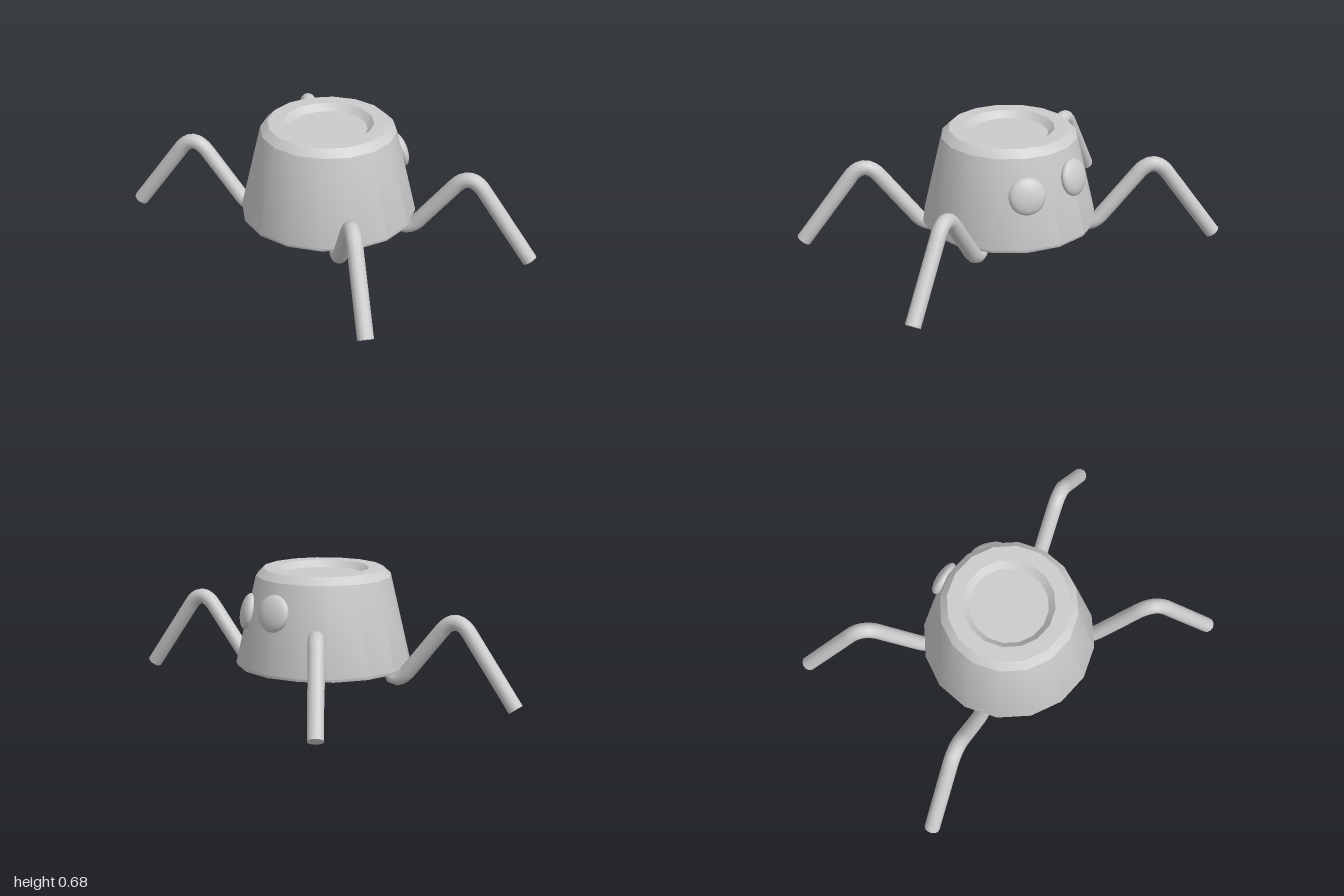
import * as THREE from 'three';
import { toCreasedNormals } from 'three/addons/utils/BufferGeometryUtils.js';

const LEG_RADIUS = 0.042;

export function createModel() {
  const model = new THREE.Group();
  model.name = 'potWalker';
  const material = new THREE.MeshStandardMaterial({ color: 0xcccccc });

  function add(parent, name, geometry) {
    const mesh = new THREE.Mesh(geometry, material);
    mesh.name = name;
    parent.add(mesh);
    return mesh;
  }

  // Upturned hollow pot: inner ceiling, inner wall, rim, outer wall, recessed top
  const profile = [
    [0, 0.6], [0.33, 0.6], [0.435, 0.15],
    [0.475, 0.15], [0.48, 0.166], [0.37, 0.64], [0.33, 0.68],
    [0.247, 0.68], [0.212, 0.645], [0, 0.645],
  ].map(([r, y]) => new THREE.Vector2(r, y));
  const pot = new THREE.LatheGeometry(profile, 16);
  add(model, 'potBody', toCreasedNormals(pot, Math.PI / 6));

  // Legs: hook under the rim, rise to a knee, then reach down to the foot
  function legCurve(sx, sz) {
    const p = (x, y) => new THREE.Vector3(sx * x, y, sz * (0.037 + 0.57 * x));
    const path = new THREE.CurvePath();
    path.add(new THREE.CubicBezierCurve3(p(0.365, 0.225), p(0.31, 0.17), p(0.325, 0.055), p(0.415, 0.14)));
    path.add(new THREE.LineCurve3(p(0.415, 0.14), p(0.605, 0.41)));
    path.add(new THREE.QuadraticBezierCurve3(p(0.605, 0.41), p(0.668, 0.488), p(0.728, 0.41)));
    path.add(new THREE.LineCurve3(p(0.728, 0.41), p(0.971, 0.027)));
    return path;
  }

  // Flat disc closing the end of a tube
  function addCap(parent, name, curve, t) {
    const cap = add(parent, name, new THREE.CircleGeometry(LEG_RADIUS, 12));
    const out = curve.getTangentAt(t).multiplyScalar(t === 0 ? -1 : 1);
    cap.position.copy(curve.getPointAt(t));
    cap.quaternion.setFromUnitVectors(new THREE.Vector3(0, 0, 1), out);
  }

  for (const [end, sz] of [['front', 1], ['back', -1]]) {
    for (const [side, sx] of [['Left', 1], ['Right', -1]]) {
      const leg = new THREE.Group();
      leg.name = `${end}${side}Leg`;
      const curve = legCurve(sx, sz);
      add(leg, 'legTube', new THREE.TubeGeometry(curve, 48, LEG_RADIUS, 12));
      addCap(leg, 'hookEnd', curve, 0);
      addCap(leg, 'footEnd', curve, 1);
      model.add(leg);
    }
  }

  // Flattened round eyes lying on the sloped back wall, one slightly higher
  for (const [name, x, y] of [['leftEye', 0.148, 0.447], ['rightEye', -0.15, 0.485]]) {
    const eye = add(model, name, new THREE.SphereGeometry(0.1, 24, 16));
    eye.scale.z = 0.4;
    eye.position.set(x, y, -0.387);
    eye.rotation.order = 'YXZ';
    eye.rotation.set(-0.227, Math.atan2(x, -0.387), 0);
  }

  return model;
}
